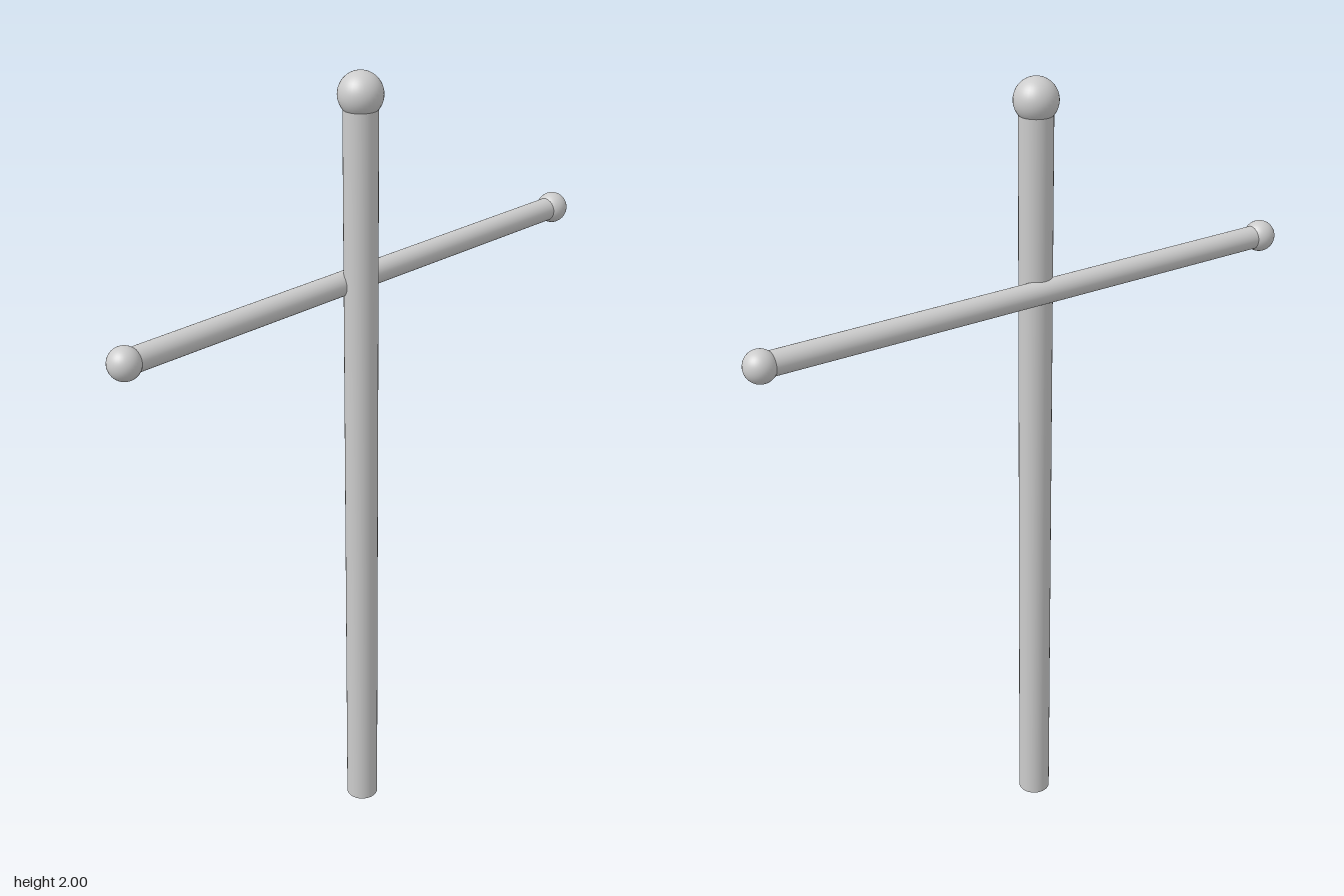
import * as THREE from 'three';

const material = new THREE.MeshStandardMaterial({ color: 0xcccccc });

function part(name, geometry, x, y, z) {
  const mesh = new THREE.Mesh(geometry, material);
  mesh.name = name;
  mesh.position.set(x, y, z);
  return mesh;
}

export function createModel() {
  const group = new THREE.Group();
  group.name = 'postWithCrossbar';

  // Upright post with a ball on top
  const postX = 0.009, postZ = 0.035, ballY = 1.947;
  group.add(part('post', new THREE.CylinderGeometry(0.041, 0.041, ballY, 32), postX, ballY / 2, postZ));
  group.add(part('postBall', new THREE.SphereGeometry(0.053, 32, 24), postX, ballY, postZ));

  // Crossbar running front to back, offset to the side of the post
  const barX = -0.025, barY = 1.495, reach = 0.702;
  const bar = new THREE.CylinderGeometry(0.029, 0.029, 2 * reach, 32).rotateX(Math.PI / 2);
  group.add(part('crossbar', bar, barX, barY, 0));

  // Ball on each end of the crossbar
  for (const [name, side] of [['frontBarBall', 1], ['backBarBall', -1]]) {
    group.add(part(name, new THREE.SphereGeometry(0.039, 32, 24), barX, barY, side * reach));
  }
  return group;
}
